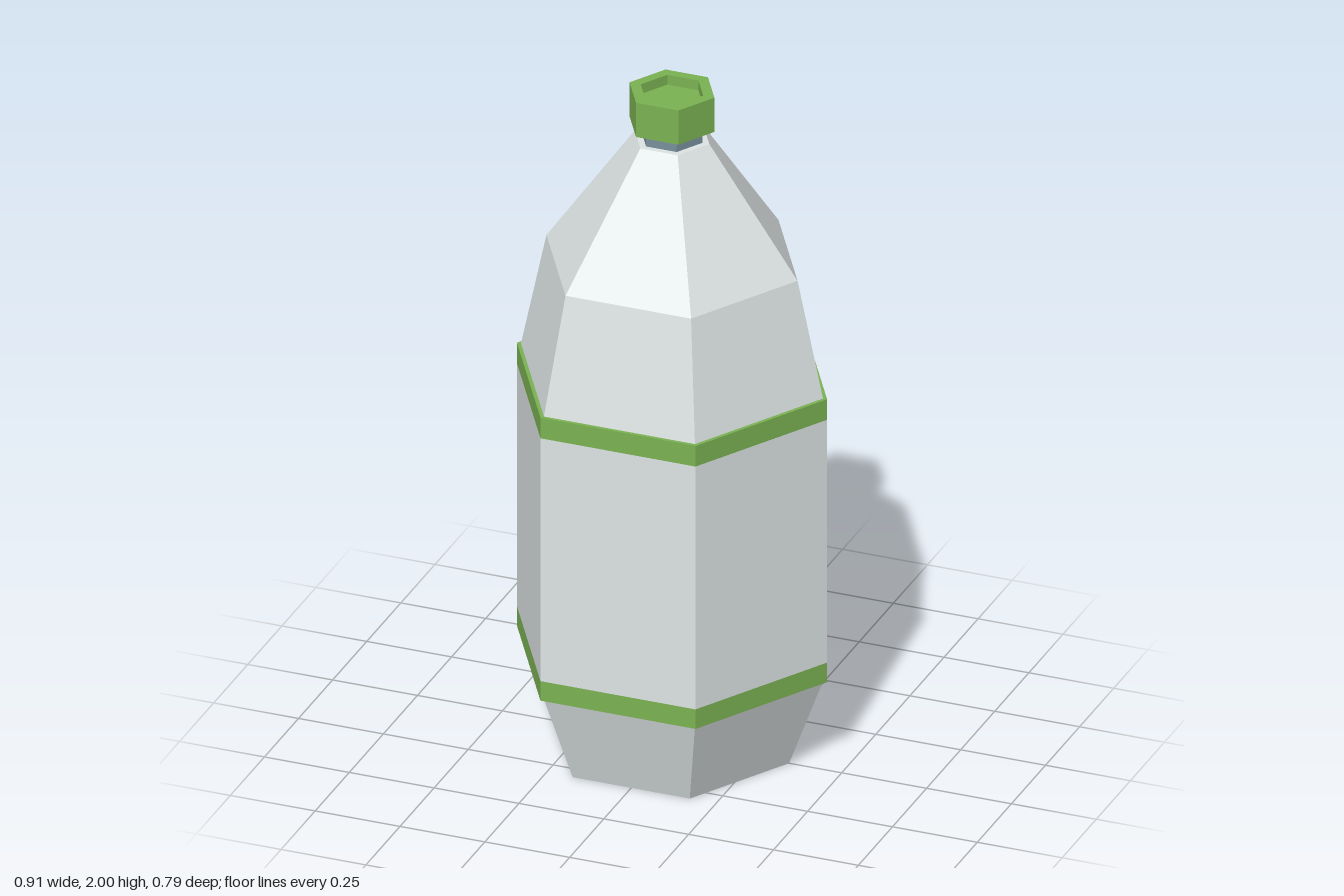
import * as THREE from 'three';

export function createModel() {
  const group = new THREE.Group();
  group.name = 'bottle';

  const material = (name, color) => {
    const m = new THREE.MeshStandardMaterial({ color, flatShading: true });
    m.name = name;
    return m;
  };
  const shell = material('pale grey', 0xdde3e3);
  const green = material('green', 0x7ab252);
  const slate = material('blue grey', 0x78909c);

  // Six-sided turned part with corners on the x axis; profile is [radius, y] from bottom to top
  const hexPart = (name, mat, profile) => {
    const points = profile.map(([r, y]) => new THREE.Vector2(r, y));
    const turned = new THREE.LatheGeometry(points, 6, Math.PI / 2);
    const geometry = turned.toNonIndexed();
    geometry.computeVertexNormals();
    const mesh = new THREE.Mesh(geometry, mat);
    mesh.name = name;
    group.add(mesh);
  };

  const body = 0.445, wide = 0.457;

  // Underside with a shallow stepped hollow
  hexPart('underside', slate, [[0, 0.03], [0.12, 0.03], [0.27, 0.015], [0.29, 0], [0.345, 0]]);

  // Tapered foot and straight middle
  hexPart('foot', shell, [[0.345, 0], [body, 0.27]]);
  hexPart('middle', shell, [[wide, 0.33], [wide, 1.075]]);

  // Green bands with their exposed ledges
  hexPart('lowerBand', green, [[body, 0.27], [wide, 0.27], [wide, 0.33]]);
  hexPart('upperBand', green, [[wide, 1.075], [wide, 1.138], [body, 1.138]]);

  // Shoulder narrowing to the neck
  hexPart('shoulder', shell, [[body, 1.138], [0.37, 1.485], [0.11, 1.855], [0.09, 1.855]]);
  hexPart('neck', slate, [[0.09, 1.85], [0.09, 1.9]]);

  // Cap with a sunken top
  hexPart('cap', green, [
    [0.085, 1.895], [0.125, 1.895], [0.125, 2], [0.092, 2], [0.092, 1.97], [0, 1.97],
  ]);

  return group;
}
